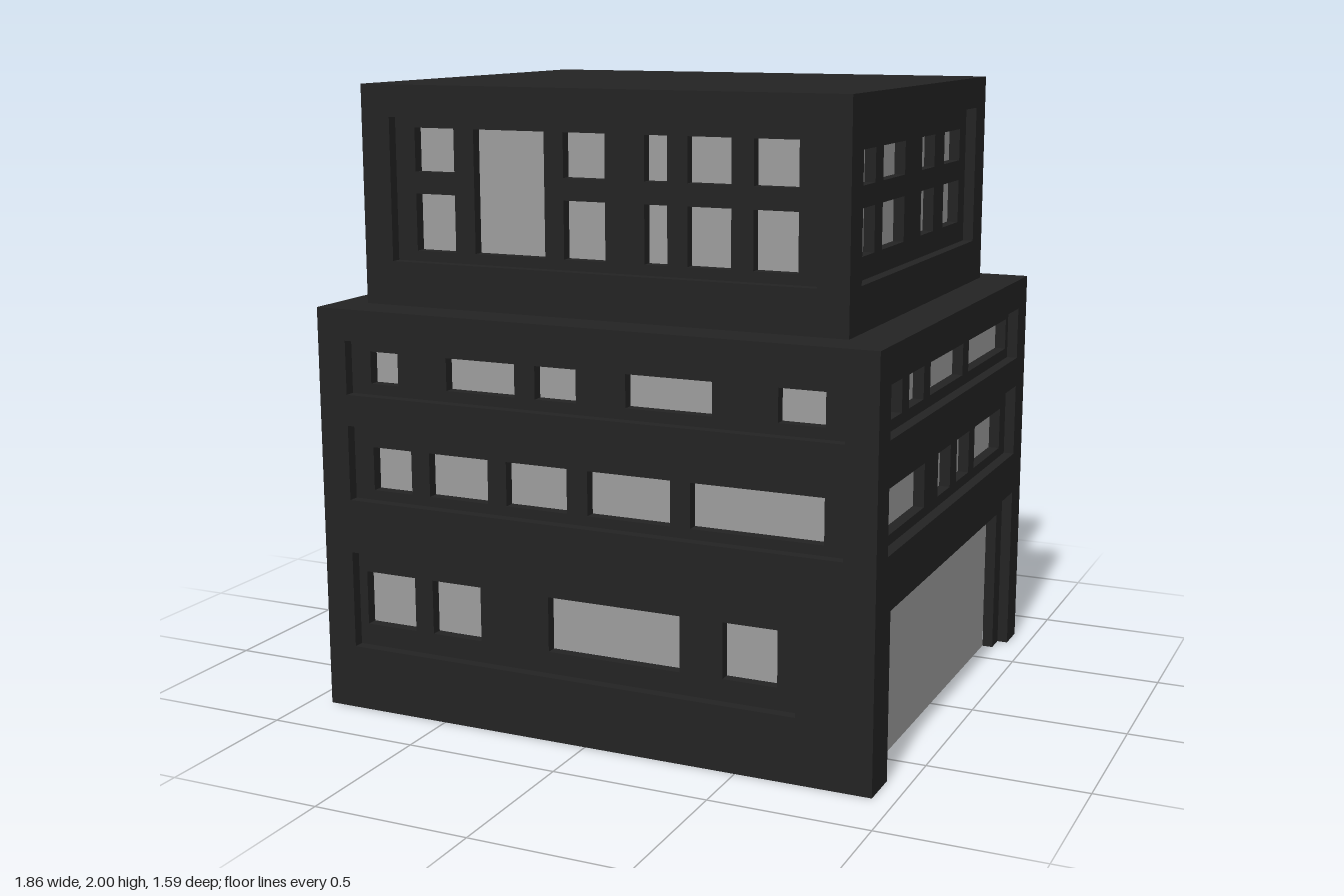
import * as THREE from 'three';

const wallMat = new THREE.MeshStandardMaterial({ color: 0x232323, side: THREE.DoubleSide });
wallMat.name = 'dark wall';
const glassMat = new THREE.MeshStandardMaterial({ color: 0x9c9c9c, side: THREE.DoubleSide });
glassMat.name = 'grey glass';

const STEP = 0.035; // depth of each recess

// Rectangles are [u0, v0, u1, v1]; u runs across the wall, v is height.
function slab([u0, v0, u1, v1], holes, outerZ) {
  const shape = new THREE.Shape();
  shape.moveTo(u0, v0);
  // openings that reach the ground become notches in the outline
  for (const [a, b, c, d] of holes.filter(h => h[1] === 0)) {
    shape.lineTo(a, b);
    shape.lineTo(a, d);
    shape.lineTo(c, d);
    shape.lineTo(c, b);
  }
  shape.lineTo(u1, v0);
  shape.lineTo(u1, v1);
  shape.lineTo(u0, v1);
  shape.closePath();
  for (const [a, b, c, d] of holes.filter(h => h[1] !== 0)) {
    const hole = new THREE.Path();
    hole.moveTo(a, b);
    hole.lineTo(a, d);
    hole.lineTo(c, d);
    hole.lineTo(c, b);
    hole.closePath();
    shape.holes.push(hole);
  }
  const geo = new THREE.ExtrudeGeometry(shape, { depth: STEP, bevelEnabled: false });
  return geo.translate(0, 0, outerZ - STEP);
}

function addMesh(parent, name, geo, mat) {
  const mesh = new THREE.Mesh(geo, mat);
  mesh.name = name;
  parent.add(mesh);
}

// Wall with recessed bands; each band holds windows and one glass strip behind them.
function facade(name, rect, bands, face) {
  const g = new THREE.Group();
  g.name = name;
  addMesh(g, 'wall', slab(rect, bands.map(b => b.rect), face), wallMat);
  for (const { rect: r, windows } of bands) {
    addMesh(g, 'windowFrame', slab(r, windows, face - STEP), wallMat);
    const lo = i => Math.min(...windows.map(w => w[i]));
    const hi = i => Math.max(...windows.map(w => w[i]));
    const w = hi(2) - lo(0), h = hi(3) - lo(1);
    const pane = new THREE.PlaneGeometry(w, h);
    pane.translate(lo(0) + w / 2, lo(1) + h / 2, face - 2 * STEP - 0.001);
    addMesh(g, 'glass', pane, glassMat);
  }
  return g;
}

const row = (v0, v1, spans) => spans.map(([a, b]) => [a, v0, b, v1]);

// Plain back wall, left wall and roof of one storey block
function plainSides(name, x0, x1, y0, y1, z0, z1) {
  const g = new THREE.Group();
  g.name = name;
  const cx = (x0 + x1) / 2, cy = (y0 + y1) / 2, cz = (z0 + z1) / 2;
  const w = x1 - x0, h = y1 - y0, d = z1 - z0;
  addMesh(g, 'backWall', new THREE.PlaneGeometry(w, h).rotateY(Math.PI).translate(cx, cy, z0), wallMat);
  addMesh(g, 'leftWall', new THREE.PlaneGeometry(d, h).rotateY(-Math.PI / 2).translate(x0, cy, cz), wallMat);
  addMesh(g, 'roof', new THREE.PlaneGeometry(w, d).rotateX(-Math.PI / 2).translate(cx, y1, cz), wallMat);
  return g;
}

export function createModel() {
  const model = new THREE.Group();
  model.name = 'building';

  // Lower block
  model.add(plainSides('lowerBlock', -0.93, 0.93, 0, 1.31, -0.795, 0.795));
  model.add(facade('lowerFront', [-0.93, 0, 0.93, 1.31], [
    { rect: [-0.83, 0.207, 0.69, 0.522],
      windows: row(0.277, 0.453, [[-0.8, -0.62], [-0.555, -0.38], [-0.14, 0.305], [0.445, 0.62]]) },
    { rect: [-0.83, 0.695, 0.83, 0.937],
      windows: row(0.727, 0.867, [[-0.76, -0.62], [-0.555, -0.345], [-0.28, -0.07], [0, 0.275], [0.34, 0.76]]) },
    { rect: [-0.83, 1.037, 0.83, 1.21],
      windows: row(1.072, 1.175, [[-0.76, -0.66], [-0.485, -0.245], [-0.175, -0.035], [0.13, 0.41], [0.615, 0.76]]) },
  ], 0.795));

  // Right side of the lower block, with the large ground-level opening
  const lowerRight = facade('lowerRight', [-0.795 + STEP, 0, 0.795, 1.31], [
    { rect: [-0.66, 0, 0.69, 0.555], windows: row(0, 0.487, [[-0.59, 0.62]]) },
    { rect: [-0.695, 0.695, 0.69, 0.937],
      windows: row(0.727, 0.867, [[-0.625, -0.245], [-0.105, 0.03], [0.1, 0.24], [0.305, 0.62]]) },
    { rect: [-0.695, 1.037, 0.69, 1.21],
      windows: row(1.072, 1.175, [[-0.625, -0.485], [-0.42, -0.275], [-0.21, 0.14], [0.205, 0.66]]) },
  ], 0.93);
  lowerRight.rotation.y = Math.PI / 2;
  model.add(lowerRight);

  // Upper block
  model.add(plainSides('upperBlock', -0.83, 0.79, 1.31, 2, -0.69, 0.66));
  const columns = [[-0.66, -0.52], [-0.14, 0], [0.13, 0.205], [0.27, 0.41], [0.48, 0.62]];
  model.add(facade('upperFront', [-0.83, 1.31, 0.79, 2], [
    { rect: [-0.73, 1.45, 0.69, 1.9],
      windows: [...row(1.73, 1.867, columns), ...row(1.483, 1.662, columns), [-0.45, 1.483, -0.205, 1.867]] },
  ], 0.66));

  const sideColumns = [[-0.49, -0.35], [-0.28, -0.07], [0.1, 0.235], [0.34, 0.515]];
  const upperRight = facade('upperRight', [-0.66 + STEP, 1.31, 0.69, 2], [
    { rect: [-0.56, 1.45, 0.585, 1.9],
      windows: [...row(1.728, 1.832, sideColumns), ...row(1.52, 1.662, sideColumns)] },
  ], 0.79);
  upperRight.rotation.y = Math.PI / 2;
  model.add(upperRight);

  return model;
}
